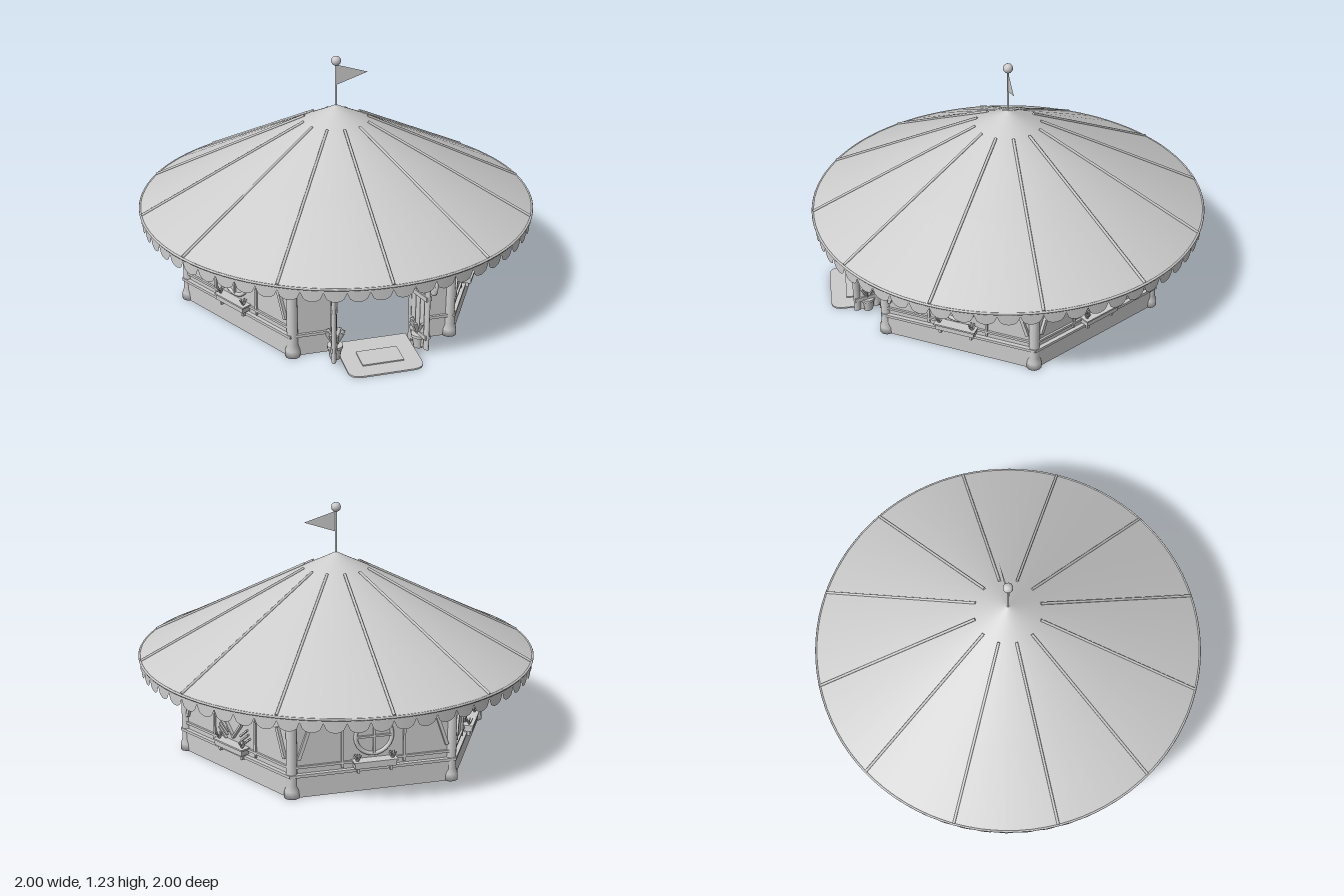
import * as THREE from 'three';

const grey = new THREE.MeshStandardMaterial({ color: 0xcccccc, side: THREE.DoubleSide });
grey.name = 'plain grey';

const R = 0.775;                       // hexagon corner radius
const APOTHEM = R * Math.cos(Math.PI / 6);
const STEP = Math.PI / 3;

function add(parent, name, geometry, x = 0, y = 0, z = 0) {
  const mesh = new THREE.Mesh(geometry, grey);
  mesh.name = name;
  mesh.position.set(x, y, z);
  parent.add(mesh);
  return mesh;
}
const box = (w, h, d) => new THREE.BoxGeometry(w, h, d);
const cyl = (top, bottom, h, n = 12) => new THREE.CylinderGeometry(top, bottom, h, n);

// Thin round bar between two points
function bar(parent, name, a, b, radius, sides = 6) {
  const dir = b.clone().sub(a);
  const mesh = add(parent, name, cyl(radius, radius, dir.length(), sides));
  mesh.position.copy(a).add(b).multiplyScalar(0.5);
  mesh.quaternion.setFromUnitVectors(new THREE.Vector3(0, 1, 0), dir.normalize());
  return mesh;
}

// Group whose +z points outward through the side at the given angle
function sideGroup(parent, name, angle) {
  const g = new THREE.Group();
  g.name = name;
  g.rotation.y = Math.PI / 2 - angle;
  g.position.set(Math.cos(angle) * APOTHEM, 0, Math.sin(angle) * APOTHEM);
  parent.add(g);
  return g;
}

function heartShape(s) {
  const h = new THREE.Shape();
  h.moveTo(0, -s);
  h.bezierCurveTo(-0.3 * s, -0.5 * s, -0.85 * s, -0.1 * s, -0.85 * s, 0.45 * s);
  h.bezierCurveTo(-0.85 * s, 1.05 * s, -0.1 * s, 1.1 * s, 0, 0.55 * s);
  h.bezierCurveTo(0.1 * s, 1.1 * s, 0.85 * s, 1.05 * s, 0.85 * s, 0.45 * s);
  h.bezierCurveTo(0.85 * s, -0.1 * s, 0.3 * s, -0.5 * s, 0, -s);
  return h;
}

function leaves(parent, x, y, z, size, count) {
  for (let i = 0; i < count; i++) {
    const a = (i / count) * Math.PI * 2;
    const base = new THREE.Vector3(x, y, z);
    const tip = new THREE.Vector3(Math.cos(a) * 0.55, 1, Math.sin(a) * 0.55).multiplyScalar(size).add(base);
    const leaf = bar(parent, 'leaf', base, tip, size * 0.14, 5);
    leaf.scale.z = 0.5;
  }
}

function roundWindow(g) {
  add(g, 'windowPane', cyl(0.085, 0.085, 0.03, 32), 0, 0.27, 0).rotation.x = Math.PI / 2;
  add(g, 'windowFrame', new THREE.TorusGeometry(0.088, 0.01, 8, 36), 0, 0.27, 0.016);
  add(g, 'windowBar', box(0.17, 0.01, 0.014), 0, 0.27, 0.018);
  add(g, 'windowBar', box(0.01, 0.17, 0.014), 0, 0.27, 0.018);
}

function heartWindow(g) {
  const outline = heartShape(0.09);
  outline.holes.push(new THREE.Path(heartShape(0.075).getPoints(10)));
  add(g, 'heartFrame', new THREE.ExtrudeGeometry(outline, { depth: 0.022, bevelEnabled: false, curveSegments: 10 }), 0, 0.27, 0.008);
  add(g, 'heartPane', new THREE.ExtrudeGeometry(heartShape(0.075), { depth: 0.03, bevelEnabled: false, curveSegments: 10 }), 0, 0.27, -0.015);
  // Slanted slats beside the point of the heart
  for (const m of [-1, 1]) for (let i = 0; i < 3; i++) {
    add(g, 'slat', box(0.07, 0.008, 0.012), m * (0.07 + i * 0.008), 0.225 - i * 0.02, 0.016).rotation.z = m * 0.7;
  }
}

function plainWall(parent, angle, heart) {
  const g = sideGroup(parent, heart ? 'heartWall' : 'roundWindowWall', angle);
  add(g, 'wallPanel', box(R, 0.46, 0.02), 0, 0.23, 0);
  add(g, 'plinth', box(R + 0.012, 0.105, 0.02), 0, 0.0525, 0.01);
  add(g, 'lowerRail', box(R + 0.03, 0.014, 0.03), 0, 0.11, 0.015);
  add(g, 'upperRail', box(R, 0.012, 0.016), 0, 0.15, 0.012);
  add(g, 'topRail', box(R, 0.03, 0.03), 0, 0.45, 0.005);
  for (const m of [-1, 1]) {
    add(g, 'batten', box(0.012, 0.31, 0.014), m * 0.15, 0.28, 0.012);
    add(g, 'brace', box(0.016, 0.15, 0.016), m * 0.335, 0.26, 0.018).rotation.z = m * 0.33;
  }
  if (heart) heartWindow(g); else roundWindow(g);
  // Flower box under the window
  add(g, 'flowerBox', box(0.2, 0.026, 0.045), 0, 0.14, 0.035);
  add(g, 'flowerBoxLip', box(0.212, 0.008, 0.055), 0, 0.157, 0.035);
  for (const m of [-1, 1]) {
    add(g, 'boxBracket', box(0.012, 0.03, 0.03), m * 0.08, 0.115, 0.03);
    leaves(g, m * 0.085, 0.158, 0.04, 0.032, 6);
  }
}

function entrance(parent, angle) {
  const g = sideGroup(parent, 'entrance', angle);
  const W = (R - 0.39) / 2;
  for (const m of [-1, 1]) {
    const x = m * (0.195 + W / 2);
    add(g, 'sidePanel', box(W, 0.46, 0.02), x, 0.23, 0);
    add(g, 'sideRail', box(W, 0.014, 0.02), x, 0.11, 0.012);
    add(g, 'doorJamb', box(0.022, 0.4, 0.04), m * 0.195, 0.2, 0.005);
    // Open leaf made from rounded planks
    const leaf = new THREE.Group();
    leaf.name = 'doorLeaf';
    leaf.position.set(m * 0.19, 0, 0.02);
    leaf.rotation.y = -m * (Math.PI / 2 - 0.28);
    leaf.scale.x = m;
    g.add(leaf);
    [0.33, 0.345, 0.35, 0.335].forEach((h, i) => {
      add(leaf, 'plank', cyl(0.018, 0.018, h, 12), m * m * (0.018 + i * 0.035), 0.02 + h / 2, 0).scale.z = 0.6;
    });
    add(leaf, 'crossBar', box(0.13, 0.022, 0.03), 0.07, 0.085, 0);
    add(leaf, 'crossBar', box(0.13, 0.022, 0.03), 0.07, 0.29, 0);
    // Potted plant
    add(g, 'pot', cyl(0.034, 0.024, 0.065, 14), m * 0.205, 0.04, 0.085);
    add(g, 'potRim', cyl(0.038, 0.038, 0.014, 14), m * 0.205, 0.072, 0.085);
    leaves(g, m * 0.205, 0.075, 0.085, 0.075, 8);
  }
  add(g, 'lintel', box(0.42, 0.07, 0.035), 0, 0.425, 0.005);
  // Small pennants over the opening
  const tri = new THREE.Shape([new THREE.Vector2(-0.032, 0), new THREE.Vector2(0, -0.075), new THREE.Vector2(0.032, 0)]);
  for (let i = -2; i <= 2; i++) {
    const p = add(g, 'pennant', new THREE.ShapeGeometry(tri), i * 0.066, 0.41, 0.035);
    p.rotation.set(-0.25, 0, i * 0.12);
  }
  // Rounded mat and inner mat
  const mat = new THREE.Shape(), a = 0.18, d = 0.27, r = 0.06;
  mat.moveTo(-a, -0.04);
  mat.lineTo(a, -0.04);
  mat.lineTo(a, d - r);
  mat.quadraticCurveTo(a, d, a - r, d);
  mat.lineTo(-a + r, d);
  mat.quadraticCurveTo(-a, d, -a, d - r);
  const matMesh = add(g, 'entranceMat', new THREE.ExtrudeGeometry(mat, { depth: 0.008, bevelEnabled: false }), 0, 0.008, 0);
  matMesh.rotation.x = Math.PI / 2;
  add(g, 'doorMat', box(0.2, 0.006, 0.12), 0, 0.011, 0.13);
  // Round blank sign on an arm
  bar(g, 'signArm', new THREE.Vector3(0.256, 0.425, 0), new THREE.Vector3(0.256, 0.425, 0.15), 0.006);
  add(g, 'signDisc', cyl(0.055, 0.055, 0.014, 28), 0.256, 0.355, 0.111).rotation.z = Math.PI / 2;
  add(g, 'signRim', new THREE.TorusGeometry(0.055, 0.008, 8, 28), 0.256, 0.355, 0.111).rotation.y = Math.PI / 2;
}

function roof(parent) {
  const g = new THREE.Group();
  g.name = 'roof';
  parent.add(g);
  const profile = [[0.995, 0.485], [0.58, 0.694], [0.165, 0.9], [0.06, 0.95], [0.0, 0.98]];
  add(g, 'canopy', new THREE.LatheGeometry(profile.map(p => new THREE.Vector2(...p)), 48));
  add(g, 'canopyRim', new THREE.TorusGeometry(0.993, 0.006, 6, 96), 0, 0.484, 0).rotation.x = Math.PI / 2;
  for (let i = 0; i < 12; i++) {
    const c = Math.cos(i * STEP / 2), s = Math.sin(i * STEP / 2);
    bar(g, 'canopyRib', new THREE.Vector3(c * 0.165, 0.904, s * 0.165), new THREE.Vector3(c * 0.99, 0.491, s * 0.99), 0.007);
  }
  // Scalloped valance: the lower edge follows half circles
  const COUNT = 60, SUB = 8;
  const valance = new THREE.CylinderGeometry(0.99, 0.99, 0.065, COUNT * SUB, 1, true);
  const pos = valance.attributes.position;
  for (let i = COUNT * SUB + 1; i < pos.count; i++) {
    const t = ((i - COUNT * SUB - 1) % SUB) / SUB * 2 - 1;
    pos.setY(i, 0.0125 - 0.045 * Math.sqrt(1 - t * t));
  }
  add(g, 'valance', valance, 0, 0.4525, 0);
  // Hanging drops under the eave
  for (let i = 0; i < 18; i++) {
    const a = (i + 0.1) * STEP / 3, x = Math.cos(a) * 0.82, z = Math.sin(a) * 0.82;
    add(g, 'dropCord', cyl(0.003, 0.003, 0.15, 5), x, 0.495, z);
    add(g, 'dropCap', cyl(0.006, 0.009, 0.014, 8), x, 0.425, z);
    add(g, 'drop', new THREE.SphereGeometry(0.011, 10, 8), x, 0.403, z).scale.y = 1.5;
  }
}

function flag(parent) {
  const g = new THREE.Group();
  g.name = 'flag';
  g.rotation.y = 1.13;
  parent.add(g);
  add(g, 'flagPole', cyl(0.006, 0.006, 0.24, 8), 0, 1.08, 0);
  add(g, 'flagBall', new THREE.IcosahedronGeometry(0.025, 1), 0, 1.205, 0);
  const tri = new THREE.Shape([new THREE.Vector2(0, 1.08), new THREE.Vector2(0.163, 1.135), new THREE.Vector2(0, 1.185)]);
  add(g, 'flagCloth', new THREE.ShapeGeometry(tri));
}

export function createModel() {
  const model = new THREE.Group();
  model.name = 'roundPavilion';
  const building = new THREE.Group();
  building.name = 'building';
  building.rotation.y = THREE.MathUtils.degToRad(4);
  model.add(building);

  // Corner posts with flared feet
  const post = [[0, 0], [0.038, 0], [0.036, 0.035], [0.027, 0.06], [0.025, 0.47], [0, 0.47]].map(p => new THREE.Vector2(...p));
  for (let i = 0; i < 6; i++) {
    add(building, 'cornerPost', new THREE.LatheGeometry(post, 10), Math.cos(i * STEP) * R, 0, Math.sin(i * STEP) * R);
    if (i === 0) entrance(building, STEP / 2);
    else plainWall(building, (i + 0.5) * STEP, i % 2 === 0);
  }
  roof(building);
  flag(model);
  return model;
}
